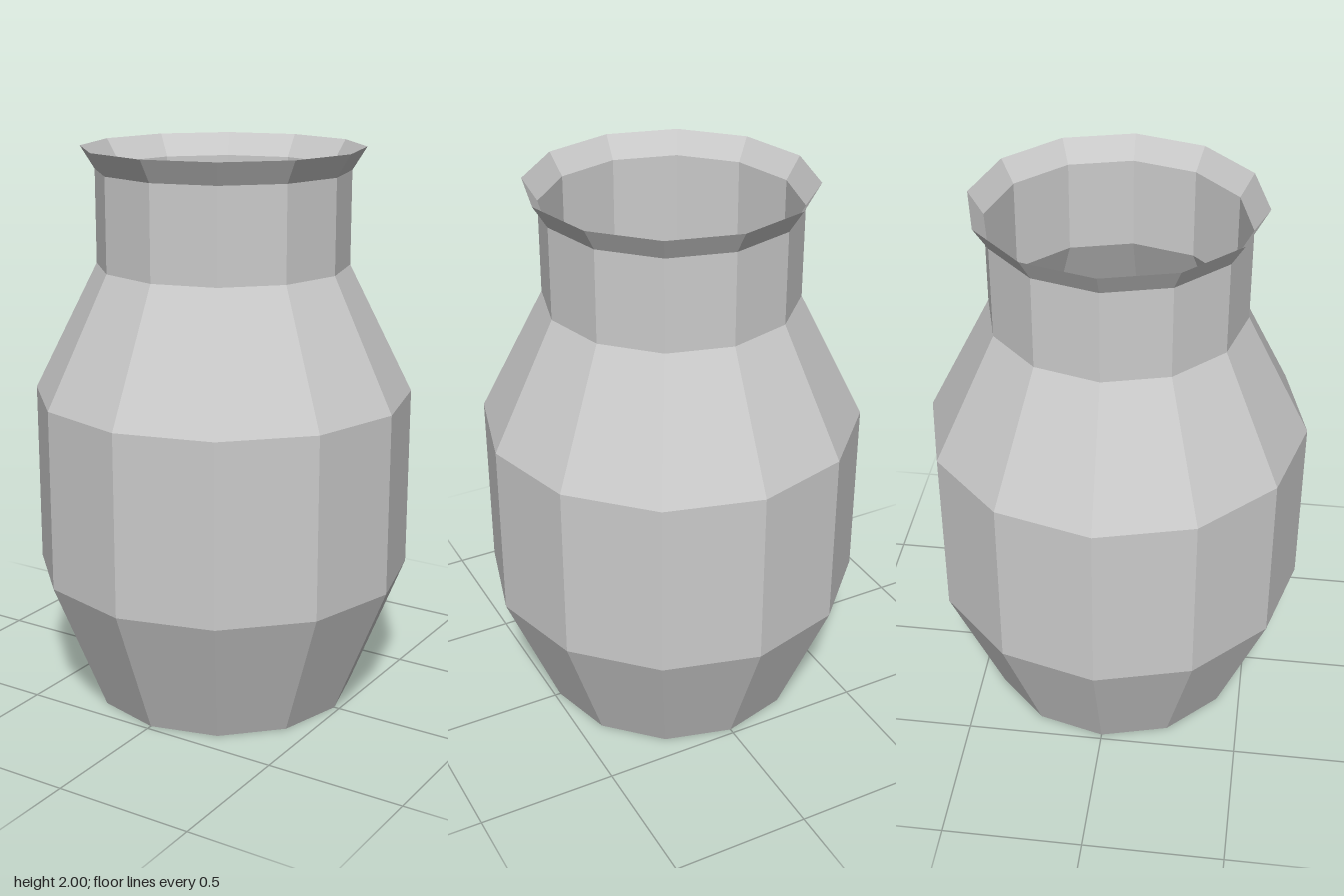
import * as THREE from 'three';

const SIDES = 12;

export function createModel() {
  const model = new THREE.Group();
  model.name = 'vase';
  const material = new THREE.MeshStandardMaterial({
    color: 0xcccccc, flatShading: true, side: THREE.DoubleSide,
  });

  // Faceted thin-walled ring between profile points [radius, height]
  const addRing = (name, profile) => {
    const points = profile.map(([r, y]) => new THREE.Vector2(r, y));
    const mesh = new THREE.Mesh(new THREE.LatheGeometry(points, SIDES), material);
    mesh.name = name;
    model.add(mesh);
  };

  // Closed foot, wide belly and sloping shoulder
  addRing('body', [[0.48, 0], [0.675, 0.485], [0.675, 1.135], [0.447, 1.59]]);
  addRing('neck', [[0.447, 1.59], [0.447, 1.92]]);
  addRing('flaredRim', [[0.447, 1.92], [0.497, 2]]);

  // Floor disc, corners aligned with the walls, facing down
  const base = new THREE.Mesh(new THREE.CircleGeometry(0.48, SIDES), material);
  base.name = 'base';
  base.rotation.x = Math.PI / 2;
  model.add(base);

  return model;
}
